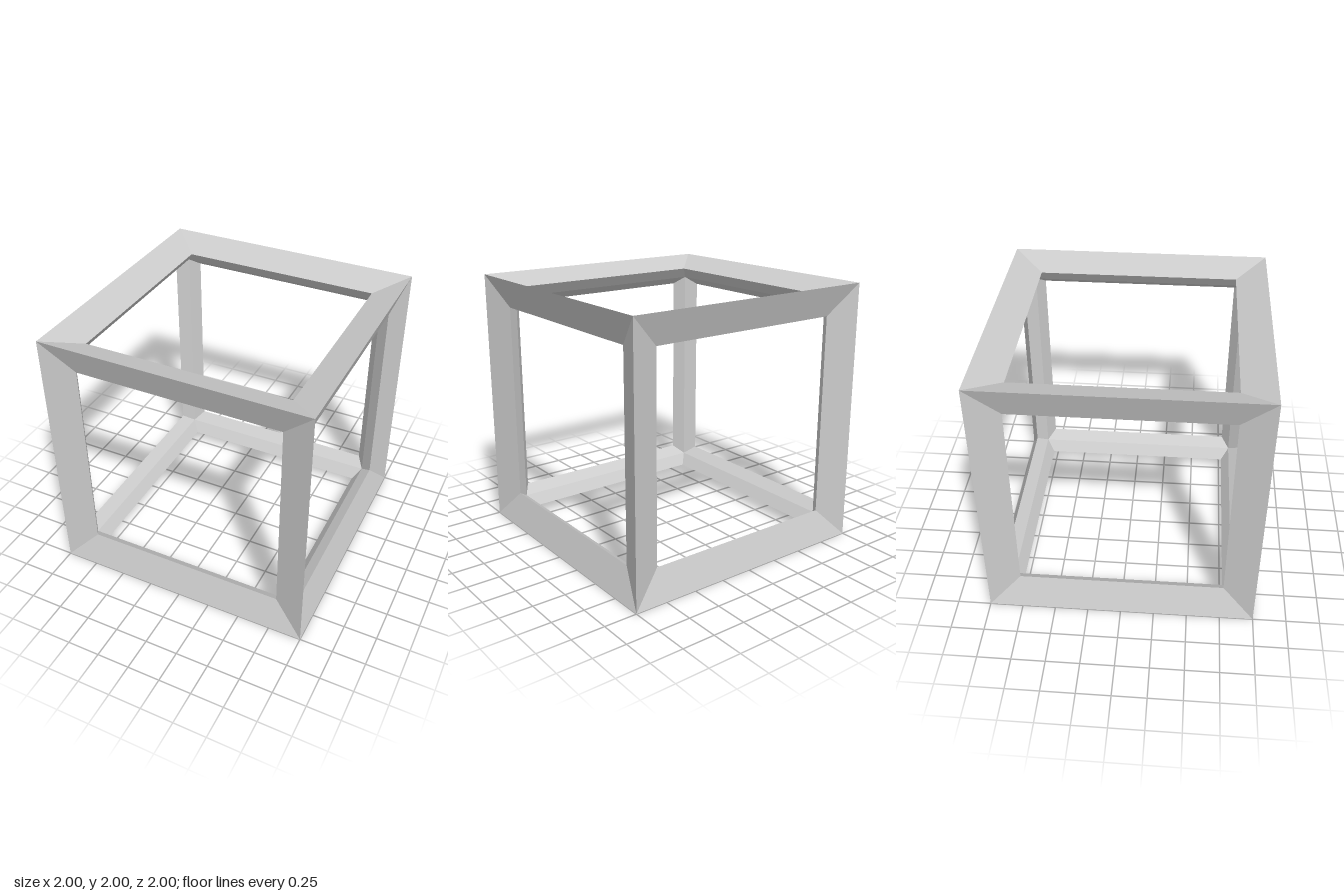
import * as THREE from 'three';

const OUTER = 1;      // outer cube corner
const FACE = 0.915;   // depth of the opening's rim
const OPEN = 0.767;   // half width of each square opening
const INNER = 0.829;  // inner cube corner

// One mitred beam along z: kite cross-section as [x, y, half length]
function beamGeometry() {
  const kite = [
    [OUTER, OUTER, OUTER],
    [OPEN, FACE, OPEN],
    [INNER, INNER, INNER],
    [FACE, OPEN, OPEN],
  ];
  const positions = [];
  kite.forEach(([x, y, z], i) => {
    const [u, v, w] = kite[(i + 1) % kite.length];
    positions.push(x, y, -z, u, v, -w, u, v, w);
    positions.push(x, y, -z, u, v, w, x, y, z);
  });
  const geometry = new THREE.BufferGeometry();
  geometry.setAttribute('position', new THREE.Float32BufferAttribute(positions, 3));
  geometry.computeVertexNormals();
  return geometry;
}

export function createModel() {
  const model = new THREE.Group();
  model.name = 'cubeFrame';
  const material = new THREE.MeshStandardMaterial({ color: 0xcccccc, flatShading: true });
  const geometry = beamGeometry();

  // Four parallel beams per axis, twelve edges in all
  const axes = [
    ['depthBeams', 0, 0],
    ['uprightBeams', Math.PI / 2, 0],
    ['crossBeams', 0, Math.PI / 2],
  ];
  for (const [name, rx, ry] of axes) {
    const set = new THREE.Group();
    set.name = name;
    set.rotation.set(rx, ry, 0);
    set.position.y = 1;
    for (let i = 0; i < 4; i++) {
      const beam = new THREE.Mesh(geometry, material);
      beam.name = 'beam' + (i + 1);
      beam.rotation.z = i * Math.PI / 2;
      set.add(beam);
    }
    model.add(set);
  }
  return model;
}
